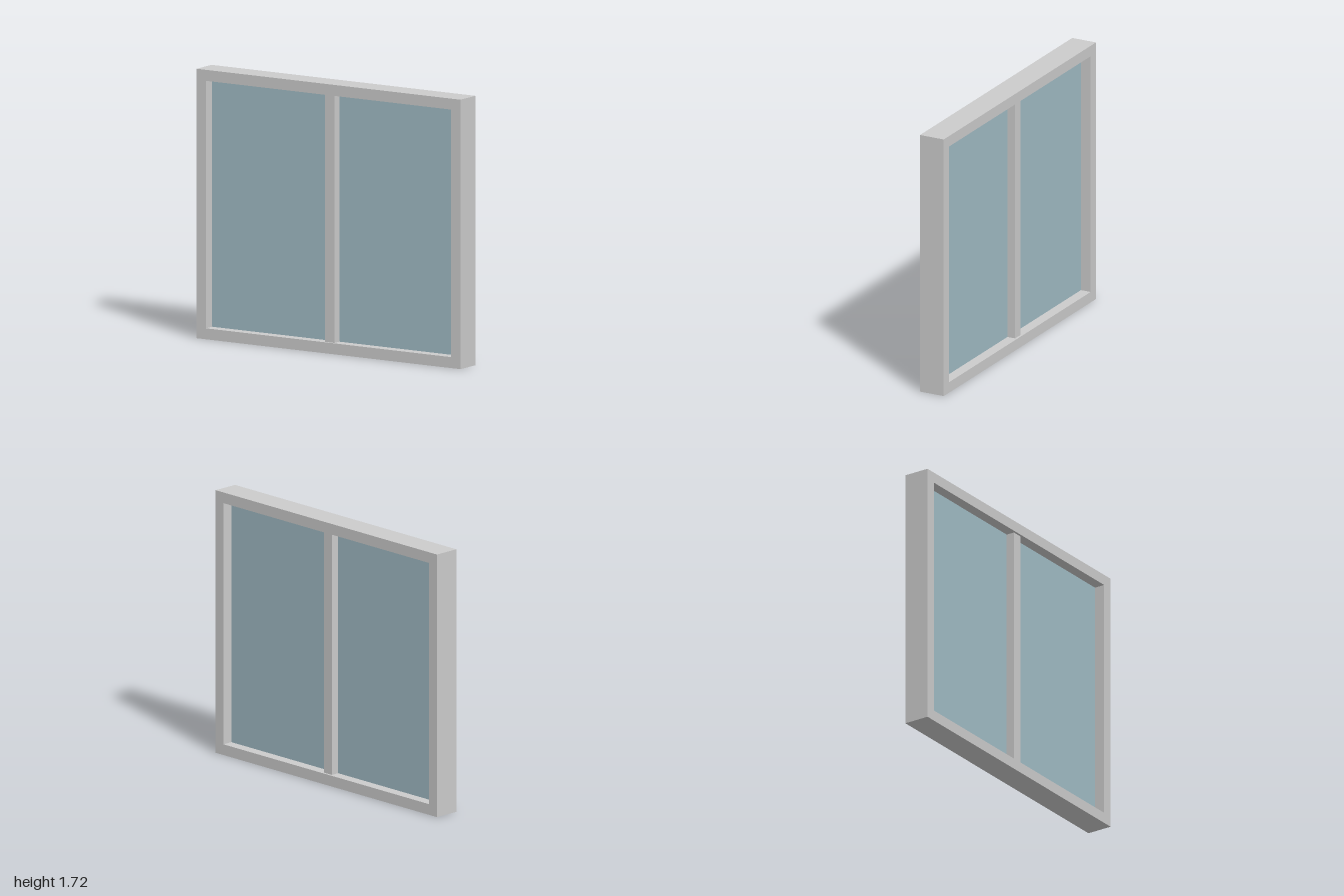
import * as THREE from 'three';

const WIDTH = 2, HEIGHT = 1.72, DEPTH = 0.17, BORDER = 0.07;
const MULLION_WIDTH = 0.07, MULLION_DEPTH = 0.14, GLASS_DEPTH = 0.03;

export function createModel() {
  const group = new THREE.Group();
  const frameMaterial = new THREE.MeshStandardMaterial({ color: 0xcccccc });
  const glassMaterial = new THREE.MeshStandardMaterial({ color: 0xa0bbc4 });

  const add = (name, geometry, material, x, y, z) => {
    const mesh = new THREE.Mesh(geometry, material);
    mesh.name = name;
    mesh.position.set(x, y, z);
    group.add(mesh);
  };

  const innerWidth = WIDTH - 2 * BORDER;
  const innerHeight = HEIGHT - 2 * BORDER;
  const rectangle = (path, w, h) => path
    .moveTo(-w / 2, -h / 2).lineTo(w / 2, -h / 2)
    .lineTo(w / 2, h / 2).lineTo(-w / 2, h / 2).closePath();

  // Outer frame: one rectangular ring
  const outline = rectangle(new THREE.Shape(), WIDTH, HEIGHT);
  outline.holes.push(rectangle(new THREE.Path(), innerWidth, innerHeight));
  const frame = new THREE.ExtrudeGeometry(outline, { depth: DEPTH, bevelEnabled: false });
  add('frame', frame, frameMaterial, 0, HEIGHT / 2, -DEPTH / 2);

  // Central upright, set slightly back from both frame faces
  add('mullion', new THREE.BoxGeometry(MULLION_WIDTH, innerHeight, MULLION_DEPTH),
    frameMaterial, 0, HEIGHT / 2, 0);

  // Glass panes on either side of the upright
  const paneWidth = (innerWidth - MULLION_WIDTH) / 2;
  for (const [name, side] of [['leftPane', 1], ['rightPane', -1]]) {
    add(name, new THREE.BoxGeometry(paneWidth, innerHeight, GLASS_DEPTH),
      glassMaterial, side * (MULLION_WIDTH + paneWidth) / 2, HEIGHT / 2, 0);
  }

  return group;
}
